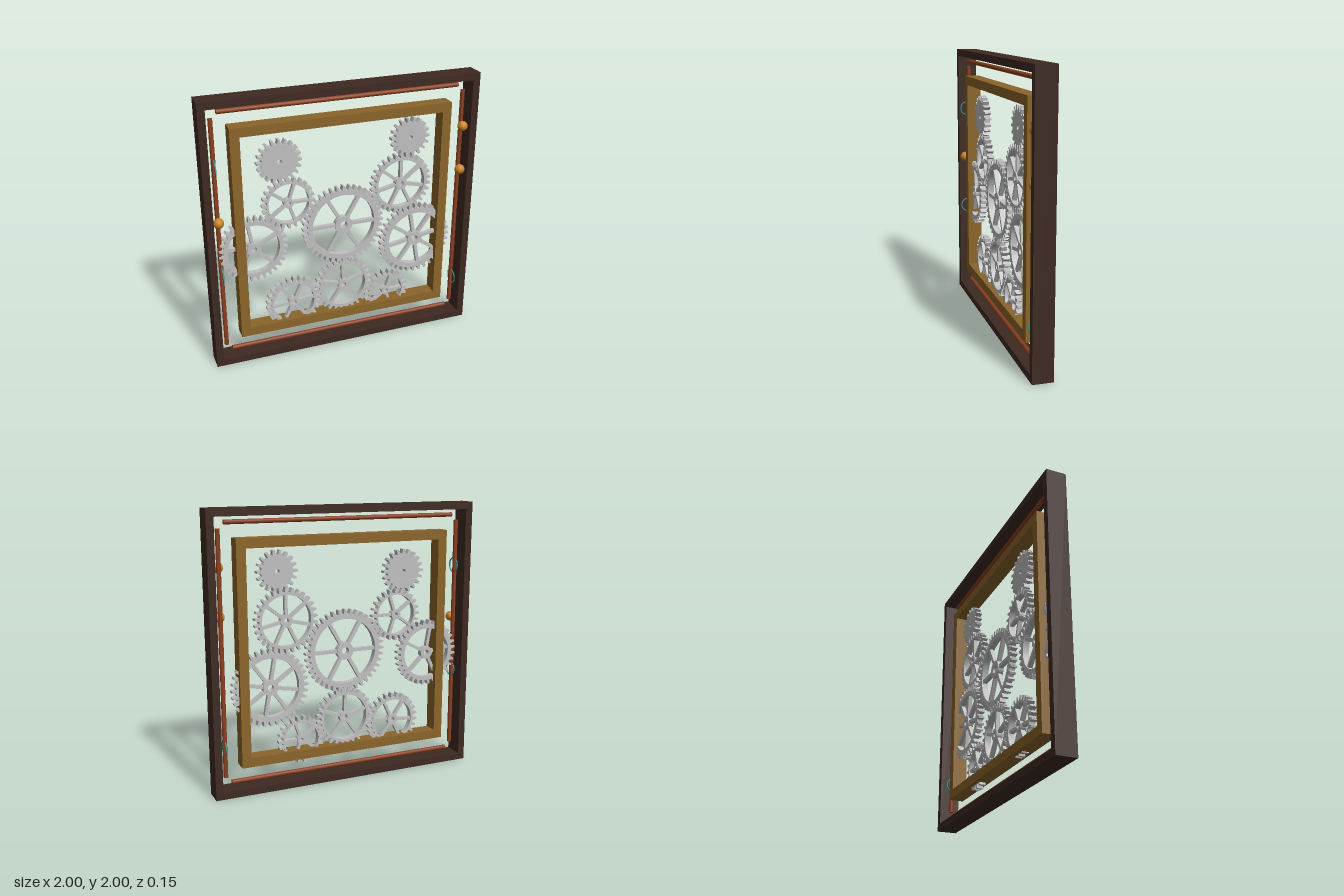
import * as THREE from 'three';

const mat = (name, color) => {
  const m = new THREE.MeshStandardMaterial({ color });
  m.name = name;
  return m;
};

export function createModel() {
  const root = new THREE.Group();
  root.name = 'gearPanel';
  const wood = mat('darkWood', 0x3e2a22);
  const brass = mat('agedBrass', 0x8b6529);
  const copper = mat('copper', 0x8b4020);
  const steel = mat('silver', 0xc0c0c0);
  const amber = mat('amber', 0xc98225);
  const teal = mat('verdigris', 0x2f9a94);

  const add = (parent, name, geometry, material, x = 0, y = 0, z = 0) => {
    const mesh = new THREE.Mesh(geometry, material);
    mesh.name = name;
    mesh.position.set(x, y, z);
    parent.add(mesh);
    return mesh;
  };

  const extrude = (shape, depth, curveSegments = 40) => {
    const g = new THREE.ExtrudeGeometry(shape, { depth, bevelEnabled: false, curveSegments });
    return g.translate(0, 0, -depth / 2);
  };

  // Square frames
  const square = (Type, h) => new Type([[-h, -h], [h, -h], [h, h], [-h, h]].map(([x, y]) => new THREE.Vector2(x, y)));
  const frame = (name, half, bar, depth, material) => {
    const shape = square(THREE.Shape, half);
    shape.holes.push(square(THREE.Path, half - bar));
    add(root, name, extrude(shape, depth), material, 0, 1, 0);
  };
  frame('outerFrame', 1, 0.052, 0.146, wood);
  frame('innerFrame', 0.8, 0.067, 0.107, brass);

  // Pipes running between the two frames
  const pipe = new THREE.CylinderGeometry(0.016, 0.016, 1.732, 16);
  for (const s of [-1, 1]) {
    add(root, 'sidePipe', pipe, copper, s * 0.907, 1, 0);
    add(root, 'crossPipe', pipe, copper, 0, 1 + s * 0.907, 0).rotation.z = Math.PI / 2;
  }

  // Round gauges on the side pipes
  const ball = new THREE.SphereGeometry(0.037, 24, 16);
  for (const [x, y] of [[0.905, 1.605], [0.905, 1.27], [-0.907, 1.135]]) {
    add(root, 'gaugeBall', ball, amber, x, y, 0.036);
  }

  // Thin rings around the side pipes
  const ring = new THREE.TorusGeometry(0.053, 0.005, 8, 32).rotateY(Math.PI / 2);
  for (const [x, y] of [[-0.907, 1.53], [-0.907, 0.726], [0.907, 0.35]]) {
    add(root, 'pipeRing', ring, teal, x, y, 0.015);
  }

  // Toothed outline: four points for each tooth
  const module = 0.0146;
  const depth = 0.046;
  const toothedShape = (teeth, R) => {
    const inner = R - module * 2.25;
    const points = [];
    for (let i = 0; i < teeth; i++) {
      for (const [t, r] of [[-0.3, inner], [-0.15, R], [0.15, R], [0.3, inner]]) {
        const a = ((i + t) / teeth) * Math.PI * 2;
        points.push(new THREE.Vector2(Math.cos(a) * r, Math.sin(a) * r));
      }
    }
    return new THREE.Shape(points);
  };
  const hole = (r) => new THREE.Path().absarc(0, 0, r, 0, Math.PI * 2, true);

  const gear = ({ x, y, R, teeth, rim, hub, bore, spokes = 0, turn = 0 }) => {
    const g = new THREE.Group();
    g.name = 'gear';
    g.position.set(x, y, 0);
    g.rotation.z = THREE.MathUtils.degToRad(turn);
    root.add(g);
    const body = toothedShape(teeth, R);
    body.holes.push(hole(spokes ? rim : bore));
    add(g, spokes ? 'toothedRim' : 'toothedDisc', extrude(body, depth), steel);
    if (!spokes) return;

    const hubShape = new THREE.Shape().absarc(0, 0, hub, 0, Math.PI * 2, false);
    hubShape.holes.push(hole(bore));
    add(g, 'hub', extrude(hubShape, depth, 24), steel);
    // Spokes reach slightly into hub and rim
    const from = hub - 0.006;
    const to = rim + 0.006;
    const bar = new THREE.BoxGeometry(to - from, 0.012 + R * 0.045, 0.03);
    bar.translate((from + to) / 2, 0, 0);
    for (let i = 0; i < spokes; i++) {
      add(g, 'spoke', bar, steel).rotation.z = (i / spokes) * Math.PI * 2;
    }
  };

  [
    { x: -0.463, y: 1.513, R: 0.16, teeth: 20, bore: 0.016 },
    { x: 0.505, y: 1.564, R: 0.147, teeth: 18, bore: 0.016 },
    { x: -0.406, y: 1.195, R: 0.192, teeth: 24, rim: 0.147, hub: 0.036, bore: 0.015, spokes: 5, turn: 0 },
    { x: 0.444, y: 1.217, R: 0.232, teeth: 30, rim: 0.181, hub: 0.045, bore: 0.018, spokes: 7, turn: 90 },
    { x: 0, y: 0.96, R: 0.305, teeth: 40, rim: 0.236, hub: 0.064, bore: 0.027, spokes: 6, turn: 0 },
    { x: -0.67, y: 0.882, R: 0.249, teeth: 32, rim: 0.187, hub: 0.048, bore: 0.02, spokes: 5, turn: 28 },
    { x: 0.57, y: 0.75, R: 0.281, teeth: 36, rim: 0.211, hub: 0.056, bore: 0.023, spokes: 8, turn: 10 },
    { x: 0, y: 0.462, R: 0.222, teeth: 28, rim: 0.169, hub: 0.043, bore: 0.018, spokes: 5, turn: 20 },
    { x: -0.39, y: 0.39, R: 0.206, teeth: 26, rim: 0.155, hub: 0.04, bore: 0.017, spokes: 6, turn: 5 },
    { x: 0.345, y: 0.337, R: 0.174, teeth: 22, rim: 0.129, hub: 0.034, bore: 0.014, spokes: 5, turn: 0 },
  ].forEach(gear);

  return root;
}
